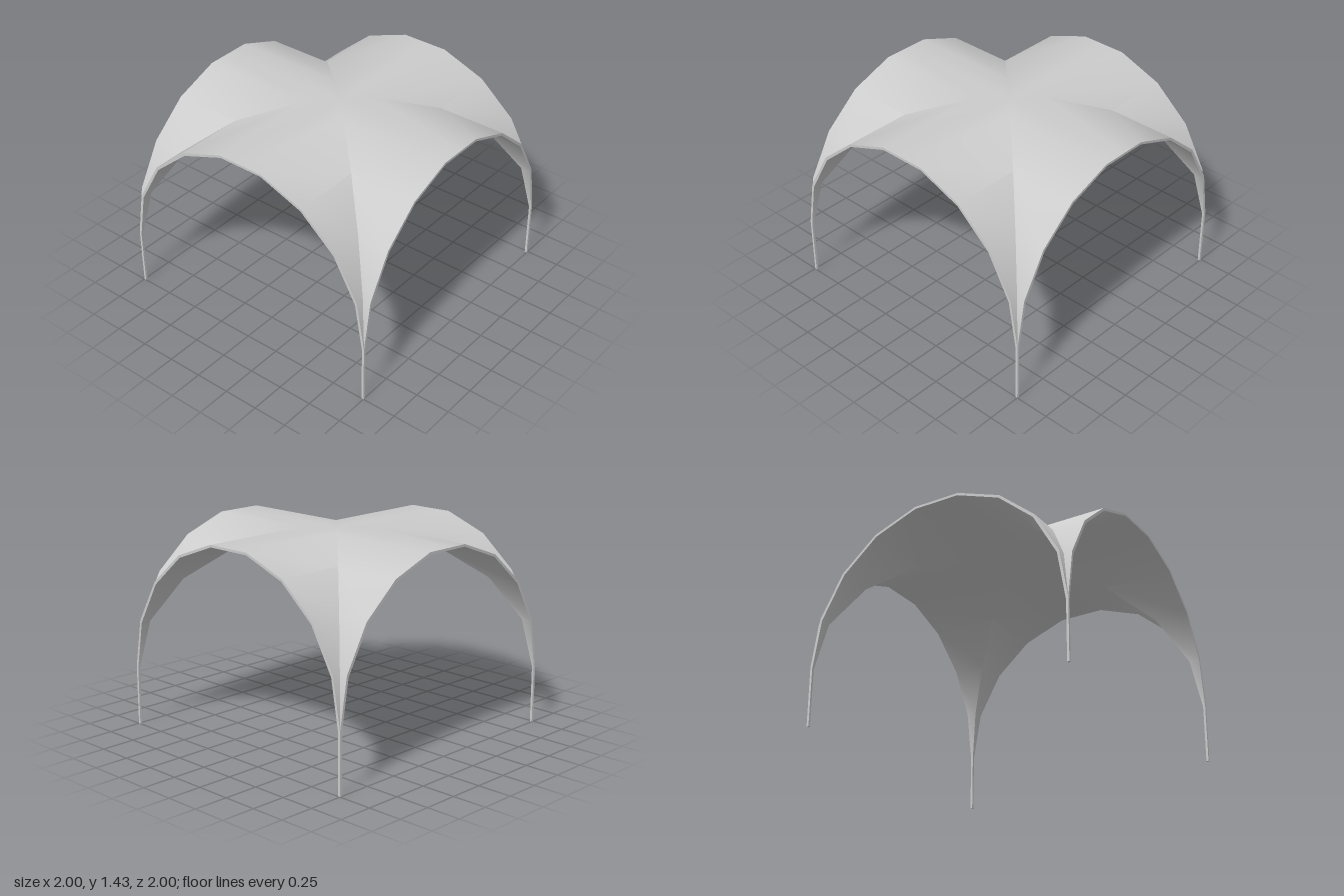
import * as THREE from 'three';
import { toCreasedNormals } from 'three/addons/utils/BufferGeometryUtils.js';

// Arch profile from left foot to right foot: vertical legs plus nine facets,
// with an extra crown point where the groins meet.
function archProfile(rx, ry, springY) {
  const pts = [[-rx, 0]];
  for (const deg of [-90, -70, -50, -30, -10, 0, 10, 30, 50, 70, 90]) {
    const a = THREE.MathUtils.degToRad(deg);
    const y = springY + ry * Math.cos(deg === 0 ? Math.PI / 18 : a);
    pts.push([rx * Math.sin(a), y]);
  }
  pts.push([rx, 0]);
  return pts;
}

export function createModel() {
  const outer = archProfile(1, 1.012, 0.43);
  const inner = archProfile(0.984, 1.01, 0.415);
  const positions = [];
  const up = new THREE.Vector3(0, 1, 0);
  let turn = 0;

  // Adds a triangle turned to its side of the canopy, skipping empty ones
  const tri = (...corners) => {
    const [a, b, c] = corners.map((p) => new THREE.Vector3(...p));
    if (new THREE.Triangle(a, b, c).getArea() < 1e-7) return;
    for (const v of [a, b, c]) positions.push(...v.applyAxisAngle(up, turn).toArray().map((n) => Math.round(n * 1e5) / 1e5));
  };
  const quad = (a, b, c, d) => { tri(a, b, c); tri(a, c, d); };
  const rim = ([x, y]) => [x, y, 1];
  const groin = ([x, y]) => [x, y, Math.abs(x)];

  // Four barrel webs, each running from its open arch back to the diagonal groins
  for (let k = 0; k < 4; k++) {
    turn = k * Math.PI / 2;
    for (let i = 0; i < outer.length - 1; i++) {
      const [o0, o1, n0, n1] = [outer[i], outer[i + 1], inner[i], inner[i + 1]];
      quad(rim(o0), rim(o1), groin(o1), groin(o0)); // roof
      quad(rim(n1), rim(n0), groin(n0), groin(n1)); // underside
      quad(rim(n0), rim(n1), rim(o1), rim(o0));     // arch edge
    }
    // Half of the square foot under each leg
    const last = outer.length - 1;
    tri(rim(outer[0]), groin(inner[0]), rim(inner[0]));
    tri(rim(outer[last]), rim(inner[last]), groin(inner[last]));
  }

  const geometry = new THREE.BufferGeometry();
  geometry.setAttribute('position', new THREE.Float32BufferAttribute(positions, 3));

  const canopy = new THREE.Mesh(
    toCreasedNormals(geometry, Math.PI / 6),
    new THREE.MeshStandardMaterial({ color: 0xcccccc, side: THREE.DoubleSide })
  );
  canopy.name = 'vaultedCanopy';

  const group = new THREE.Group();
  group.name = 'groinVaultPavilion';
  group.add(canopy);
  return group;
}
